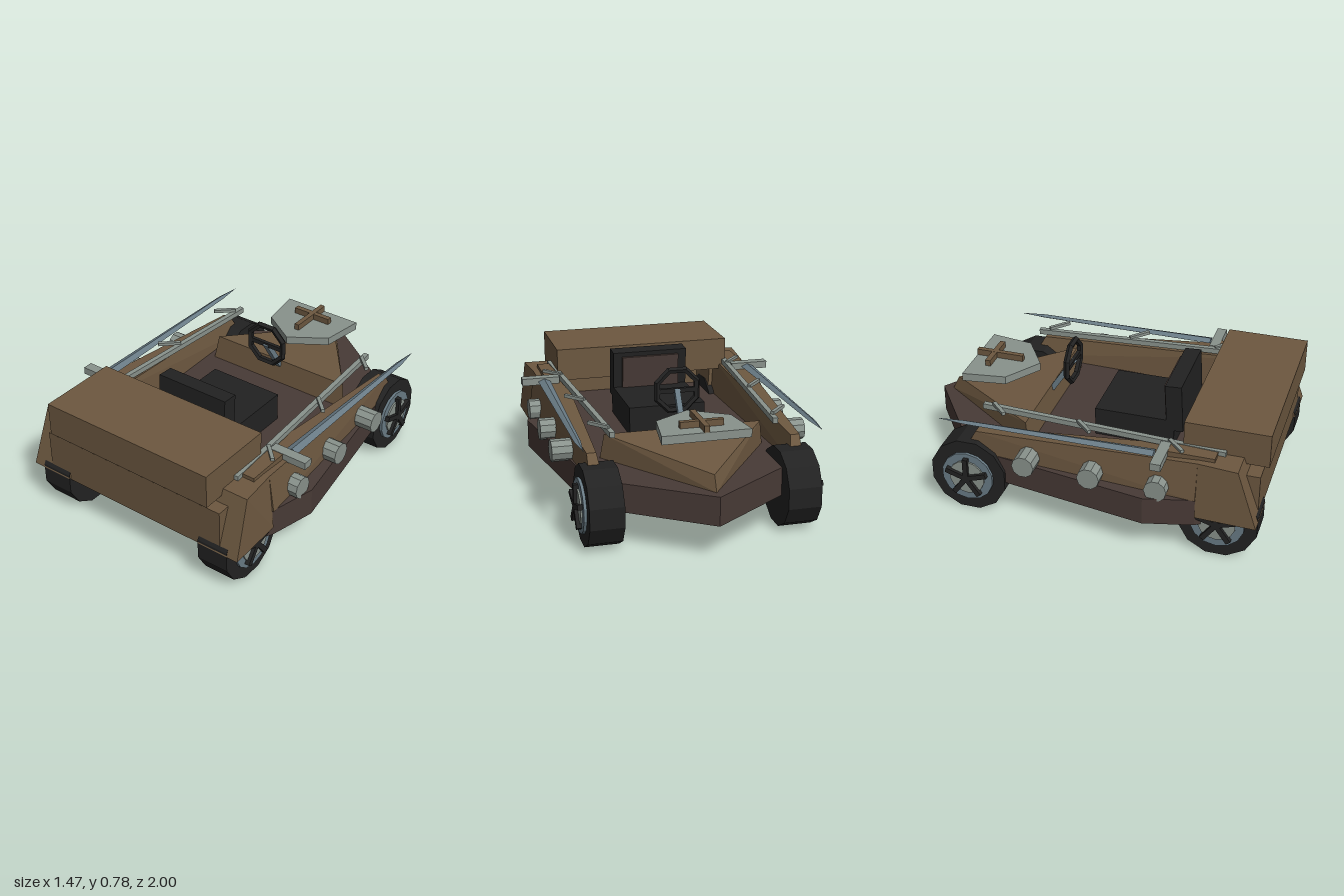
import * as THREE from 'three';
import { ConvexGeometry } from 'three/addons/geometries/ConvexGeometry.js';

const mat = (name, color) => {
  const m = new THREE.MeshStandardMaterial({ color, flatShading: true });
  m.name = name;
  return m;
};

export function createModel() {
  const model = new THREE.Group();
  model.name = 'kart';
  const wood = mat('brown wood', 0x6d5840);
  const dark = mat('dark brown hull', 0x483a36);
  const black = mat('black rubber', 0x222222);
  const silver = mat('pale grey metal', 0x89928c);
  const steel = mat('blue grey steel', 0x697b85);

  const add = (name, geometry, material, pos = [0, 0, 0], parent = model) => {
    const mesh = new THREE.Mesh(geometry, material);
    mesh.name = name;
    mesh.position.set(...pos);
    parent.add(mesh);
    return mesh;
  };
  // Box from its low and high corners
  const box = (name, lo, hi, material, parent) =>
    add(name, new THREE.BoxGeometry(...lo.map((v, i) => hi[i] - v)), material,
      lo.map((v, i) => (v + hi[i]) / 2), parent);
  // Convex solid from its corners
  const solid = (name, points, material, parent) =>
    add(name, new ConvexGeometry(points.map(p => new THREE.Vector3(...p))), material, [0, 0, 0], parent);
  // Bar of rectangular section between two points
  const bar = (name, a, b, w, h, material, parent) => {
    const p = new THREE.Vector3(...a), q = new THREE.Vector3(...b);
    const mesh = add(name, new THREE.BoxGeometry(w, h, p.distanceTo(q)), material,
      p.clone().add(q).multiplyScalar(0.5).toArray(), parent);
    mesh.lookAt(q);
    return mesh;
  };

  // Boat-shaped hull
  const hullOutline = [[0, -1], [0.56, -0.6], [0.72, 0.4], [0.655, 0.66], [0.5, 0.87]];
  const hullPoints = [];
  for (const [x, z] of hullOutline)
    for (const s of [-1, 1]) hullPoints.push([s * x, 0.195, z], [s * x, 0.35, z]);
  solid('hull', hullPoints, dark);

  // Pointed front deck
  solid('frontDeck', [
    [0, 0.35, -0.94], [-0.45, 0.35, -0.31], [0.45, 0.35, -0.31],
    [0, 0.43, -0.9], [-0.43, 0.487, -0.33], [0.43, 0.487, -0.33],
  ], wood);

  // Rear boxes
  box('upperTrunk', [-0.51, 0.525, 0.555], [0.51, 0.71, 1], wood);
  box('lowerTrunk', [-0.56, 0.24, 0.88], [0.56, 0.49, 0.967], wood);

  // Seat
  const seat = new THREE.Group();
  seat.name = 'seat';
  model.add(seat);
  box('seatCushion', [-0.215, 0.35, -0.01], [0.215, 0.51, 0.43], black, seat);
  const back = new THREE.Group();
  back.name = 'seatBack';
  back.position.set(0, 0.45, 0.435);
  back.rotation.x = -0.06;
  seat.add(back);
  box('backFrame', [-0.215, 0, -0.045], [0.215, 0.27, 0.045], black, back);
  box('backPad', [-0.165, 0.05, -0.062], [0.165, 0.245, -0.04], dark, back);

  // Steering wheel and column
  const ring = add('steeringWheel', new THREE.TorusGeometry(0.118, 0.018, 5, 8), black, [0, 0.657, -0.205]);
  ring.rotation.z = Math.PI / 8;
  bar('steeringSpoke', [-0.11, 0.655, -0.205], [0.11, 0.655, -0.205], 0.02, 0.025, black);
  bar('steeringColumn', [0, 0.66, -0.2], [0, 0.46, -0.33], 0.03, 0.03, steel);

  // Shield with a cross
  const outline = [[-0.235, 0.77], [-0.2, 0.53], [0, 0.4], [0.2, 0.53], [0.235, 0.77]];
  const shieldShape = new THREE.Shape(outline.map(p => new THREE.Vector2(...p)));
  const shield = add('shield', new THREE.ExtrudeGeometry(shieldShape, { depth: 0.045, bevelEnabled: false }),
    silver, [0, 0.56, 0]);
  shield.rotation.x = -Math.PI / 2;
  box('crossLong', [-0.014, 0.6, -0.77], [0.014, 0.64, -0.5], wood);
  box('crossShort', [-0.115, 0.6, -0.682], [0.115, 0.639, -0.652], wood);

  // Wheel: tyre, rim, hub and five spokes
  const wheel = (name, s, z) => {
    const g = new THREE.Group();
    g.name = name;
    g.position.set(s * 0.52, 0.213, z);
    g.rotation.y = s > 0 ? 0 : Math.PI;
    model.add(g);
    const disc = (n, r, x0, x1, m, sides) => {
      const geo = new THREE.CylinderGeometry(r, r, x1 - x0, sides);
      geo.rotateY(Math.PI / sides).rotateZ(Math.PI / 2);
      add(n, geo, m, [(x0 + x1) / 2, 0, 0], g);
    };
    disc('tyre', 0.215, -0.09, 0.09, black, 12);
    disc('rim', 0.145, 0.05, 0.105, steel, 14);
    disc('rimPlate', 0.1, 0.09, 0.114, silver, 14);
    for (let i = 0; i < 5; i++) {
      const spoke = new THREE.BoxGeometry(0.026, 0.12, 0.028).translate(0.119, 0.06, 0);
      add('spoke', spoke, black, [0, 0, 0], g).rotation.x = (i * 2 * Math.PI) / 5;
    }
  };

  for (const s of [-1, 1]) {
    const label = s > 0 ? 'left' : 'right';
    const m = pts => pts.map(([x, y, z]) => [s * x, y, z]);
    wheel(label + 'FrontWheel', s, -0.6);
    wheel(label + 'RearWheel', s, 0.77);

    // Side wall in front of and over the rear wheel
    solid(label + 'SideWall', m([
      [0.5, 0.35, -0.63], [0.57, 0.35, -0.63], [0.52, 0.475, -0.56], [0.57, 0.475, -0.56],
      [0.46, 0.35, 0.66], [0.665, 0.35, 0.66], [0.47, 0.56, 0.66], [0.635, 0.56, 0.66],
    ]), wood);
    solid(label + 'RearFender', m([
      [0.43, 0.25, 0.66], [0.665, 0.25, 0.66], [0.45, 0.56, 0.66], [0.635, 0.56, 0.66],
      [0.43, 0.25, 0.98], [0.675, 0.25, 0.98], [0.43, 0.56, 0.87], [0.655, 0.56, 0.87],
    ]), wood);
    box(label + 'Cap', s > 0 ? [0.52, 0.55, 0.48] : [-0.6, 0.55, 0.48],
      s > 0 ? [0.6, 0.58, 0.74] : [-0.52, 0.58, 0.74], wood);

    // Round studs on the side
    for (const z of [0.46, 0.105, -0.25]) {
      const stud = new THREE.CylinderGeometry(0.06, 0.06, 0.13, 10).rotateZ(Math.PI / 2);
      add(label + 'Stud', stud, silver, [s * 0.637, 0.393, z]);
    }

    // Rail with small slanted prongs
    bar(label + 'Rail', [s * 0.52, 0.57, 0.78], [s * 0.435, 0.56, -0.56], 0.028, 0.03, silver);
    for (const z of [0.48, -0.02, -0.5]) {
      const x = 0.47 + 0.064 * z;
      bar(label + 'Prong', [s * x, 0.583, z], [s * (x + 0.09), 0.587, z + 0.09], 0.02, 0.018, silver);
    }

    // Sword: tapered blade and crossguard
    solid(label + 'Blade', m([
      [0.575, 0.565, 0.43], [0.645, 0.565, 0.43], [0.61, 0.58, 0.43], [0.61, 0.55, 0.43],
      [0.605, 0.557, -0.6], [0.64, 0.557, -0.6], [0.622, 0.568, -0.6], [0.622, 0.546, -0.6],
      [0.622, 0.555, -0.75],
    ]), steel);
    bar(label + 'Crossguard', [s * 0.52, 0.563, 0.468], [s * 0.735, 0.563, 0.468], 0.055, 0.04, silver);
  }
  return model;
}
